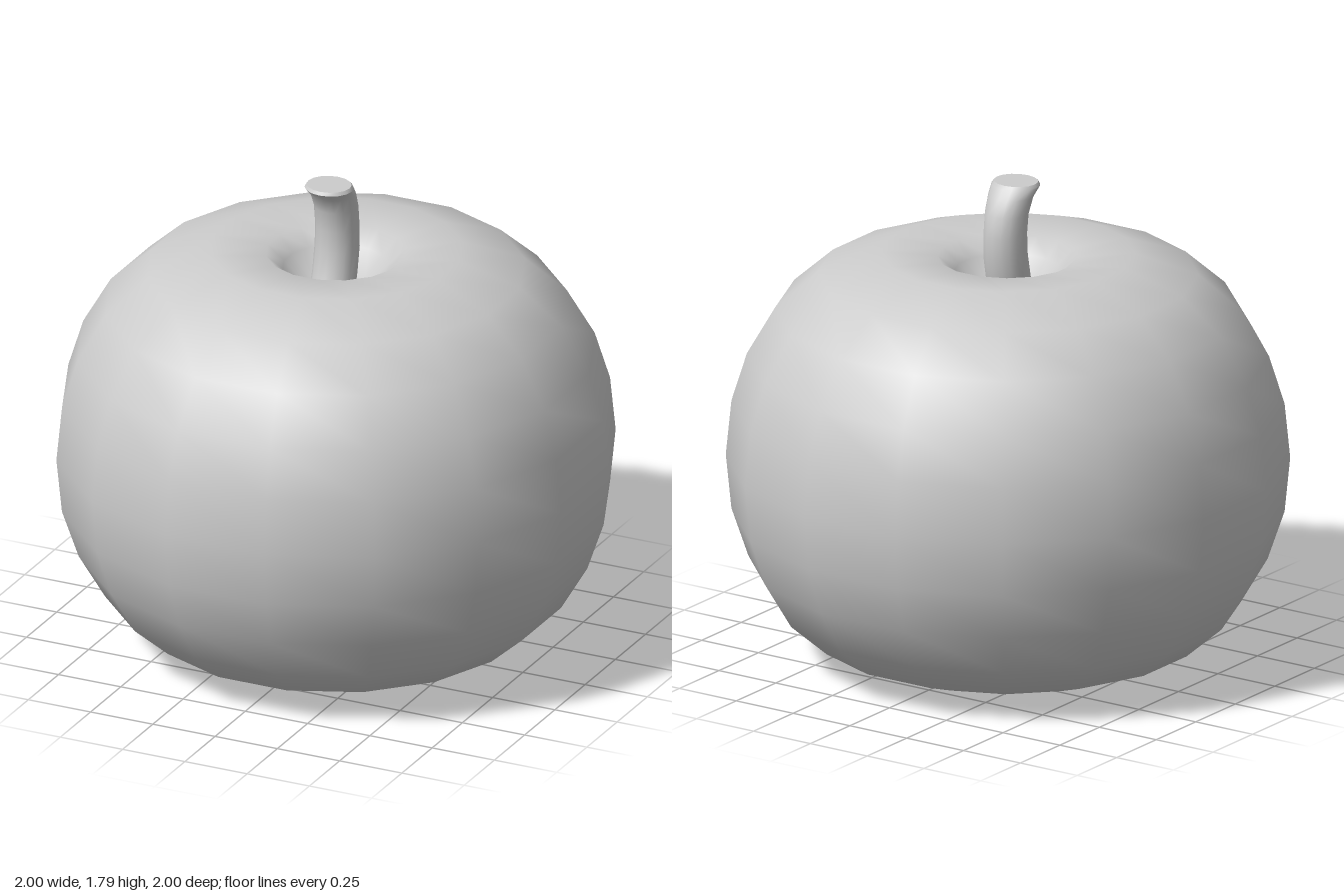
import * as THREE from 'three';
import { toCreasedNormals } from 'three/addons/utils/BufferGeometryUtils.js';

const SIDES = 16;

// Sixteen-sided turned body; profile radii are measured to the flat of each side.
function createBody(material) {
  const profile = [
    [0, 0.01], [0.3, 0], [0.51, 0.02], [0.69, 0.085], [0.825, 0.205], [0.92, 0.37],
    [0.98, 0.55], [1, 0.755], [0.98, 0.96], [0.925, 1.14], [0.825, 1.315],
    [0.675, 1.45], [0.45, 1.53], [0.25, 1.515], [0.19, 1.46], [0.12, 1.385], [0, 1.36],
  ];
  const toCorner = 1 / Math.cos(Math.PI / SIDES);
  const points = profile.map(([r, y]) => new THREE.Vector2(r * toCorner, y));
  const body = new THREE.Mesh(new THREE.LatheGeometry(points, SIDES, Math.PI / SIDES), material);
  body.name = 'body';
  return body;
}

// Stalk that curves forward: each ring is [y, centre z, half width x, half depth z].
function createStem(material) {
  const rings = [
    [1.34, 0.025, 0.085, 0.085], [1.43, -0.01, 0.082, 0.082], [1.53, -0.03, 0.082, 0.081],
    [1.61, -0.032, 0.08, 0.081], [1.69, -0.022, 0.081, 0.079], [1.75, 0.004, 0.085, 0.077],
    [1.783, 0.035, 0.091, 0.083], [1.795, 0.036, 0.083, 0.075],
  ];
  const last = rings.length - 1;
  const geometry = new THREE.CylinderGeometry(1, 1, 1, SIDES, last);
  const position = geometry.attributes.position;
  for (let i = 0; i < position.count; i++) {
    const [y, z, rx, rz] = rings[Math.round((position.getY(i) + 0.5) * last)];
    position.setXYZ(i, position.getX(i) * rx - 0.01, y, position.getZ(i) * rz + z);
  }
  const stem = new THREE.Mesh(toCreasedNormals(geometry, 0.8), material);
  stem.name = 'stem';
  return stem;
}

export function createModel() {
  const material = new THREE.MeshStandardMaterial({ color: 0xcccccc });
  const model = new THREE.Group();
  model.name = 'fruit';
  model.add(createBody(material), createStem(material));
  return model;
}
